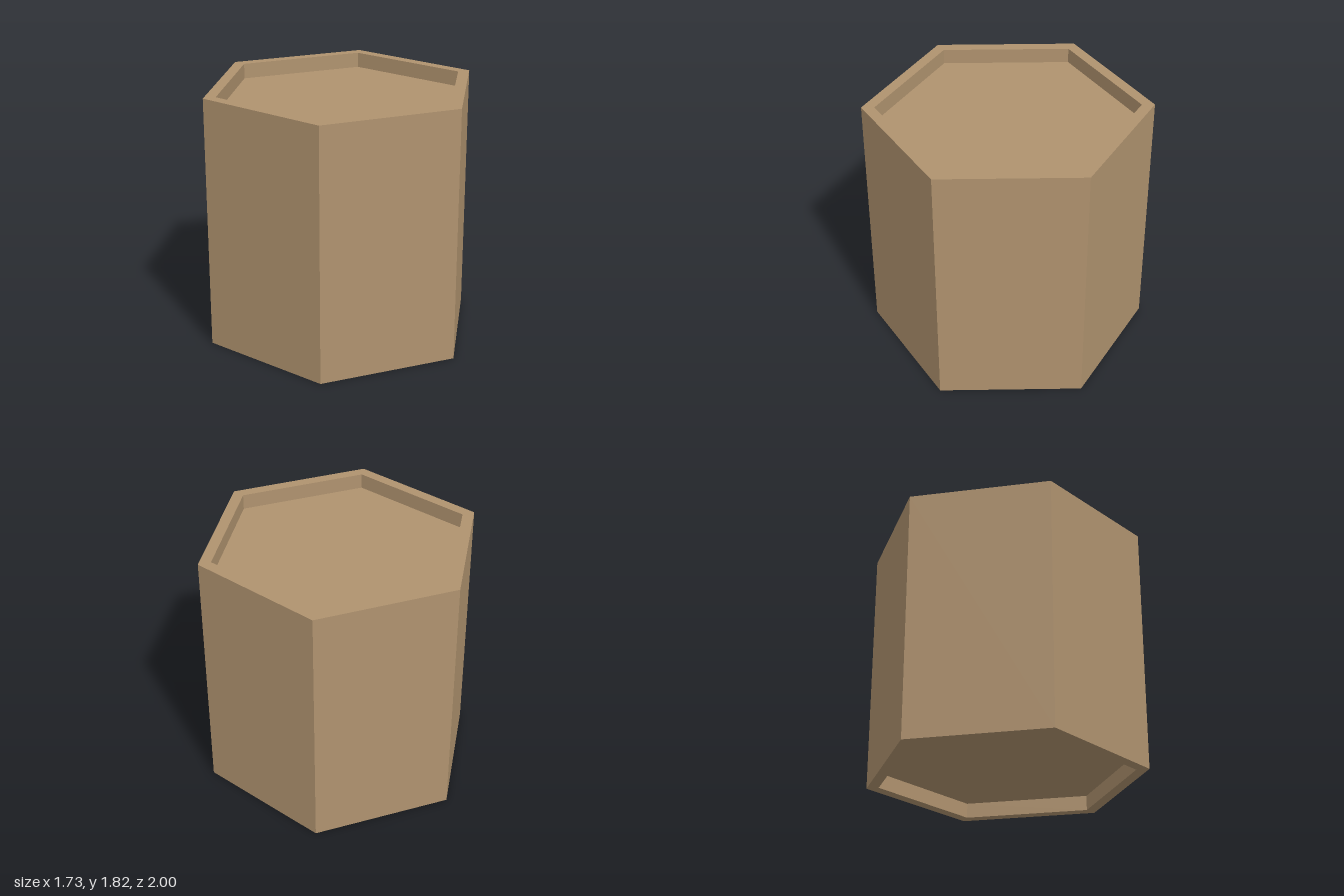
import * as THREE from 'three';

const HEIGHT = 1.82;
const OUTER = 1;
const INNER = 0.91;
const RECESS = 0.11;

export function createModel() {
  const group = new THREE.Group();
  group.name = 'hexagonalBlock';

  const tan = new THREE.MeshStandardMaterial({ color: 0xb0936f });
  tan.name = 'tan';
  tan.flatShading = true;

  // Six-sided wall with flat rims and the short inner walls of both recesses
  const profile = [
    [INNER, RECESS], [INNER, 0], [OUTER, 0],
    [OUTER, HEIGHT], [INNER, HEIGHT], [INNER, HEIGHT - RECESS],
  ].map(([r, y]) => new THREE.Vector2(r, y));
  const wall = new THREE.Mesh(new THREE.LatheGeometry(profile, 6), tan);
  wall.name = 'outerWall';
  group.add(wall);

  // Sunken hexagonal panels closing the top and the bottom
  const addPanel = (name, y, facing) => {
    const panel = new THREE.Mesh(new THREE.CircleGeometry(INNER, 6, Math.PI / 2), tan);
    panel.name = name;
    panel.rotation.x = -facing * Math.PI / 2;
    panel.position.y = y;
    group.add(panel);
  };
  addPanel('topPanel', HEIGHT - RECESS, 1);
  addPanel('bottomPanel', RECESS, -1);

  return group;
}
